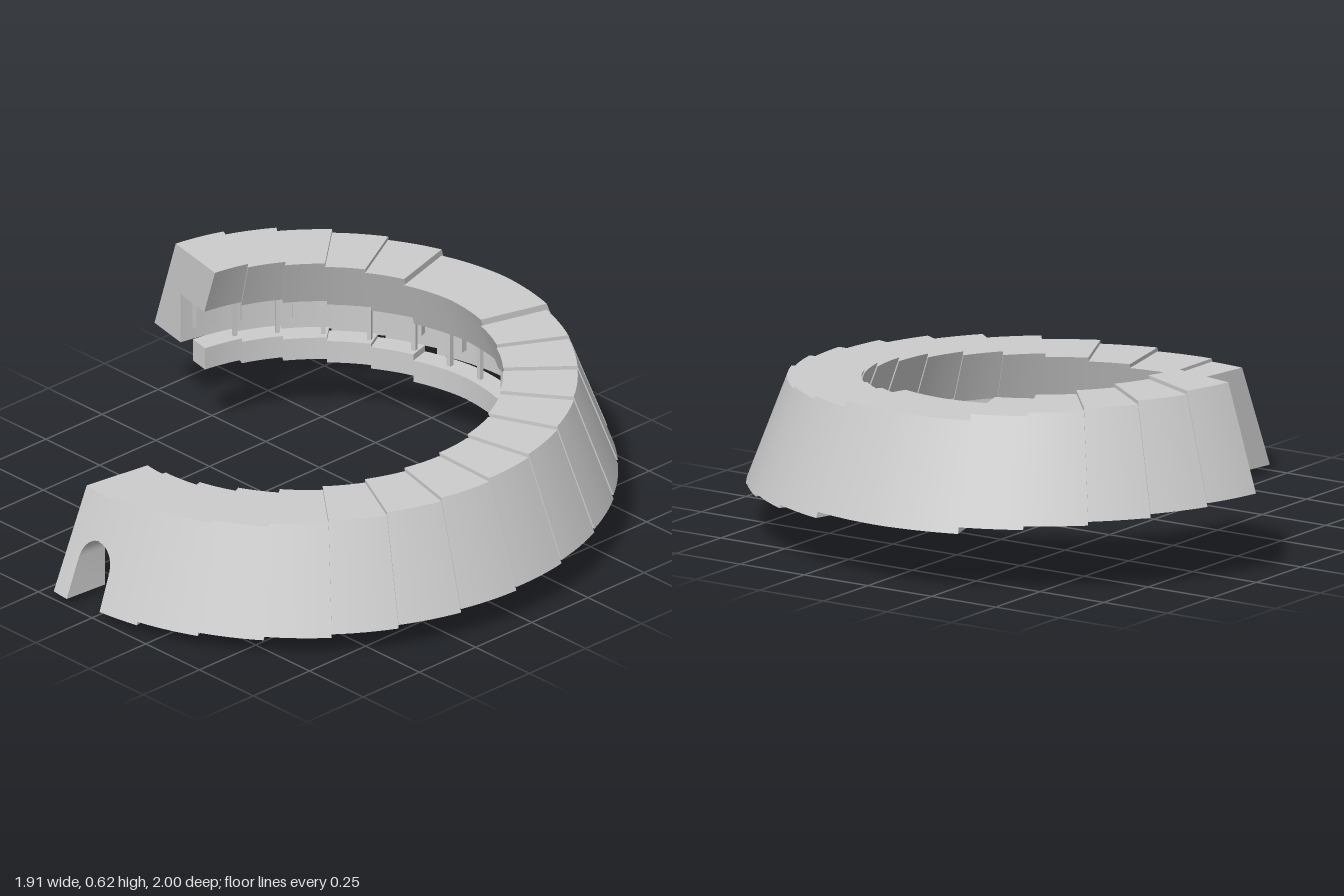
import * as THREE from 'three';
import { toCreasedNormals } from 'three/addons/utils/BufferGeometryUtils.js';

const RAD = Math.PI / 180;
const CX = -0.045;              // centre of the ring on x
const WALL_H = 0.345;           // segment height
const ARCH_R = 0.075, ARCH_SPRING = 0.155;

// Angle runs from the front (+z) towards +x; the ring tightens past the back.
function place(r, y, deg) {
  const tighten = deg > 180 ? 0.065 * (deg - 180) / 78 : 0;
  const R = r - tighten;
  return new THREE.Vector3(CX + R * Math.sin(deg * RAD), y, R * Math.cos(deg * RAD));
}

// Closed loft: each section is { deg, pts: [[r, y], ...] }, counter-clockwise.
function loft(sections) {
  const pos = [];
  const tri = (a, b, c) => {
    const area = b.clone().sub(a).cross(c.clone().sub(a)).length();
    if (area > 1e-9) for (const v of [a, b, c]) pos.push(v.x, v.y, v.z);
  };
  const rings = sections.map(s => s.pts.map(([r, y]) => place(r, y, s.deg)));
  for (let i = 0; i < rings.length - 1; i++) {
    const p = rings[i], q = rings[i + 1], n = p.length;
    for (let j = 0; j < n; j++) {
      const k = (j + 1) % n;
      tri(p[j], q[j], q[k]);
      tri(p[j], q[k], p[k]);
    }
  }
  const cap = (i, flip) => {
    const contour = sections[i].pts.map(([r, y]) => new THREE.Vector2(r, y));
    for (const [a, b, c] of THREE.ShapeUtils.triangulateShape(contour, [])) {
      const v = rings[i];
      flip ? tri(v[a], v[c], v[b]) : tri(v[a], v[b], v[c]);
    }
  };
  cap(0, false);
  cap(rings.length - 1, true);
  const g = new THREE.BufferGeometry();
  g.setAttribute('position', new THREE.Float32BufferAttribute(pos, 3));
  return toCreasedNormals(g, 0.4);
}

function degrees(a, b, step = 2.2) {
  const n = Math.max(1, Math.ceil((b - a) / step));
  return Array.from({ length: n + 1 }, (_, i) => a + (b - a) * i / n);
}

// Block with a rectangular section following the ring
function curvedBlock(a, b, r0, r1, y0, y1) {
  const pts = [[r1, y0], [r1, y1], [r0, y1], [r0, y0]];
  return loft(degrees(a, b).map(deg => ({ deg, pts })));
}

// Battered outer wall with a roof and an overhanging inner fascia
function wallSection(deg, top, bottom) {
  const base = top - WALL_H;
  return {
    deg,
    pts: [
      [1 - 0.13 * (bottom - base) / WALL_H, bottom], [0.87, top], [0.63, top],
      [0.695, top - 0.17], [0.84, top - 0.17], [0.84, bottom],
    ],
  };
}

export function createModel() {
  const group = new THREE.Group();
  group.name = 'spiralGallery';
  const stone = new THREE.MeshStandardMaterial({ color: 0xcccccc });
  stone.name = 'paleGreyStone';
  const add = (name, geometry) => {
    const mesh = new THREE.Mesh(geometry, stone);
    mesh.name = name;
    group.add(mesh);
  };

  // Segment boundaries, with one wide segment at the back
  const bounds = [-8.3, 0];
  for (let i = 1; i <= 13; i++) bounds.push(0.5 + 12.58 * i);
  for (let i = 0; i <= 5; i++) bounds.push(196 + 12.4 * i);

  // Half of the arched doorway, swept from angle t0 to t1
  const arch = (t0, t1, top) => Array.from({ length: 9 }, (_, i) => {
    const t = t0 + (t1 - t0) * i / 8;
    const deg = Math.asin(ARCH_R * Math.cos(t) / 0.98) / RAD;
    return wallSection(deg, top, ARCH_SPRING + ARCH_R * Math.sin(t));
  });
  const jamb = Math.asin(ARCH_R / 0.98) / RAD;

  for (let s = 0; s < bounds.length - 1; s++) {
    const a = bounds[s], b = bounds[s + 1];
    const top = 0.37 + 0.001 * (a + b) / 2;
    const base = top - WALL_H;
    const plain = (p, q) => degrees(p, q).map(d => wallSection(d, top, base));

    let sections;
    if (s === 0) sections = [...plain(a, -jamb), ...arch(Math.PI, Math.PI / 2, top)];
    else if (s === 1) sections = [...arch(Math.PI / 2, 0, top), ...plain(jamb, b)];
    else sections = plain(a, b);
    add('wallSegment', loft(sections));
    if (s === 0) continue;

    // Low parapet under the overhang, starting beyond the doorway
    const start = s === 1 ? 8 : a;
    add('parapet', curvedBlock(start, b, 0.69, 0.765, top - 0.377, top - 0.3));

    // Slim posts from parapet to ceiling, and panels on the inside of the wall
    const bays = Math.max(1, Math.round((b - start) / 12));
    const width = (b - start) / bays;
    for (let i = 0; i < bays; i++) {
      const p = start + width * i;
      add('post', curvedBlock(p + 0.6, p + 1.8, 0.715, 0.73, top - 0.3, top - 0.17));
      if (width > 8) {
        add('wallPanel', curvedBlock(p + 3, p + 9, 0.815, 0.84, top - 0.3, top - 0.19));
      }
    }
  }
  return group;
}
